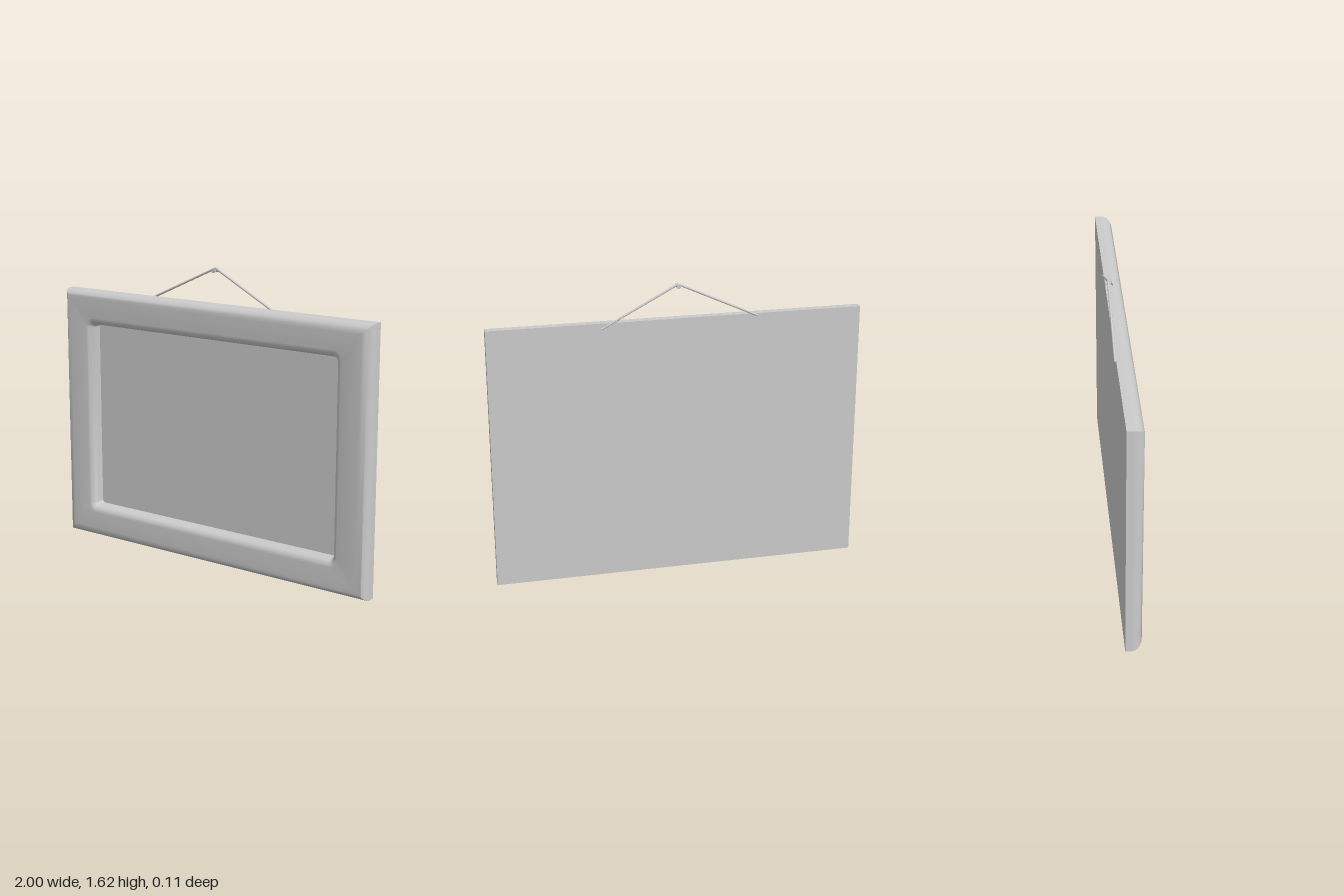
import * as THREE from 'three';
import { toCreasedNormals } from 'three/addons/utils/BufferGeometryUtils.js';

const material = new THREE.MeshStandardMaterial({ color: 0xcccccc });
const HEIGHT = 1.43, MID_Y = HEIGHT / 2;
const BACK = -0.035, FRONT = 0.055;

// Counter-clockwise rectangle with rounded corners, as a ring of points at depth z
function ring(halfW, halfH, radius, z, steps = 6) {
  const points = [];
  const corners = [[1, -1], [1, 1], [-1, 1], [-1, -1]];
  corners.forEach(([sx, sy], c) => {
    for (let i = 0; i <= steps; i++) {
      const a = (c - 1 + i / steps) * Math.PI / 2;
      points.push([
        sx * (halfW - radius) + radius * Math.cos(a),
        MID_Y + sy * (halfH - radius) + radius * Math.sin(a),
        z,
      ]);
    }
  });
  return points;
}

// Skin a list of equally sized closed rings
function loft(rings) {
  const n = rings[0].length, index = [];
  for (let j = 0; j < rings.length - 1; j++) {
    for (let i = 0; i < n; i++) {
      const k = (i + 1) % n;
      const a = j * n + i, b = j * n + k, c = a + n, d = b + n;
      index.push(a, b, c, b, d, c);
    }
  }
  const geometry = new THREE.BufferGeometry();
  geometry.setAttribute('position', new THREE.Float32BufferAttribute(rings.flat(2), 3));
  geometry.setIndex(index);
  return toCreasedNormals(geometry.toNonIndexed(), 0.7);
}

function add(parent, name, geometry) {
  const mesh = new THREE.Mesh(geometry, material);
  mesh.name = name;
  parent.add(mesh);
  return mesh;
}

// Round rod between two points
function rod(parent, name, from, to, radius) {
  const dir = to.clone().sub(from);
  const mesh = add(parent, name, new THREE.CylinderGeometry(radius, radius, dir.length(), 12));
  mesh.position.copy(from).add(to).multiplyScalar(0.5);
  mesh.quaternion.setFromUnitVectors(new THREE.Vector3(0, 1, 0), dir.normalize());
}

export function createModel() {
  const group = new THREE.Group();
  group.name = 'hangingPictureFrame';

  // Moulding: mitred, rounded outer edge, flat face, then a rounded lip into the opening
  const rings = [ring(1, MID_Y, 0, BACK)];
  const steps = 8;
  for (let i = 0; i <= steps; i++) {
    const a = i / steps * Math.PI / 2;
    const inset = 0.055 * (1 - Math.cos(a));
    rings.push(ring(1 - inset, MID_Y - inset, 0, FRONT * Math.sin(a)));
  }
  const openW = 0.8, openH = 0.5275, lip = 0.04;
  for (let i = 0; i <= steps; i++) {
    const a = i / steps * Math.PI / 2;
    const out = lip * (1 - Math.sin(a));
    rings.push(ring(openW + out, openH + out, 0.02 + out, FRONT - lip * (1 - Math.cos(a))));
  }
  rings.push(ring(openW, openH, 0.02, -0.03));
  add(group, 'frameMoulding', loft(rings));

  // Panel closing the back and showing through the opening
  const panel = add(group, 'picturePanel', new THREE.BoxGeometry(1.999, HEIGHT - 0.001, 0.01));
  panel.position.set(0, MID_Y, BACK + 0.005);

  // Hanging wire, slightly uneven, bent over the nail
  const wire = new THREE.Group();
  wire.name = 'hangingWire';
  group.add(wire);
  const z = -0.039, r = 0.006;
  const apex = new THREE.Vector3(0, 1.614, z);
  rod(wire, 'rightWire', new THREE.Vector3(-0.43, 1.418, z), apex, r);
  rod(wire, 'leftWire', new THREE.Vector3(0.405, 1.4, z), apex, r);
  add(wire, 'wireBend', new THREE.SphereGeometry(r, 12, 8)).position.copy(apex);

  // Spool-shaped nail carrying the wire
  const profile = [[0, -0.02], [0.012, -0.02], [0.012, -0.016], [0.005, -0.01],
    [0.005, 0.01], [0.012, 0.016], [0.012, 0.02], [0, 0.02]]
    .map(([x, y]) => new THREE.Vector2(x, y));
  const nail = add(group, 'nail', toCreasedNormals(new THREE.LatheGeometry(profile, 16).toNonIndexed(), 0.6));
  nail.rotation.x = Math.PI / 2;
  nail.position.set(0, 1.603, -0.035);

  return group;
}
